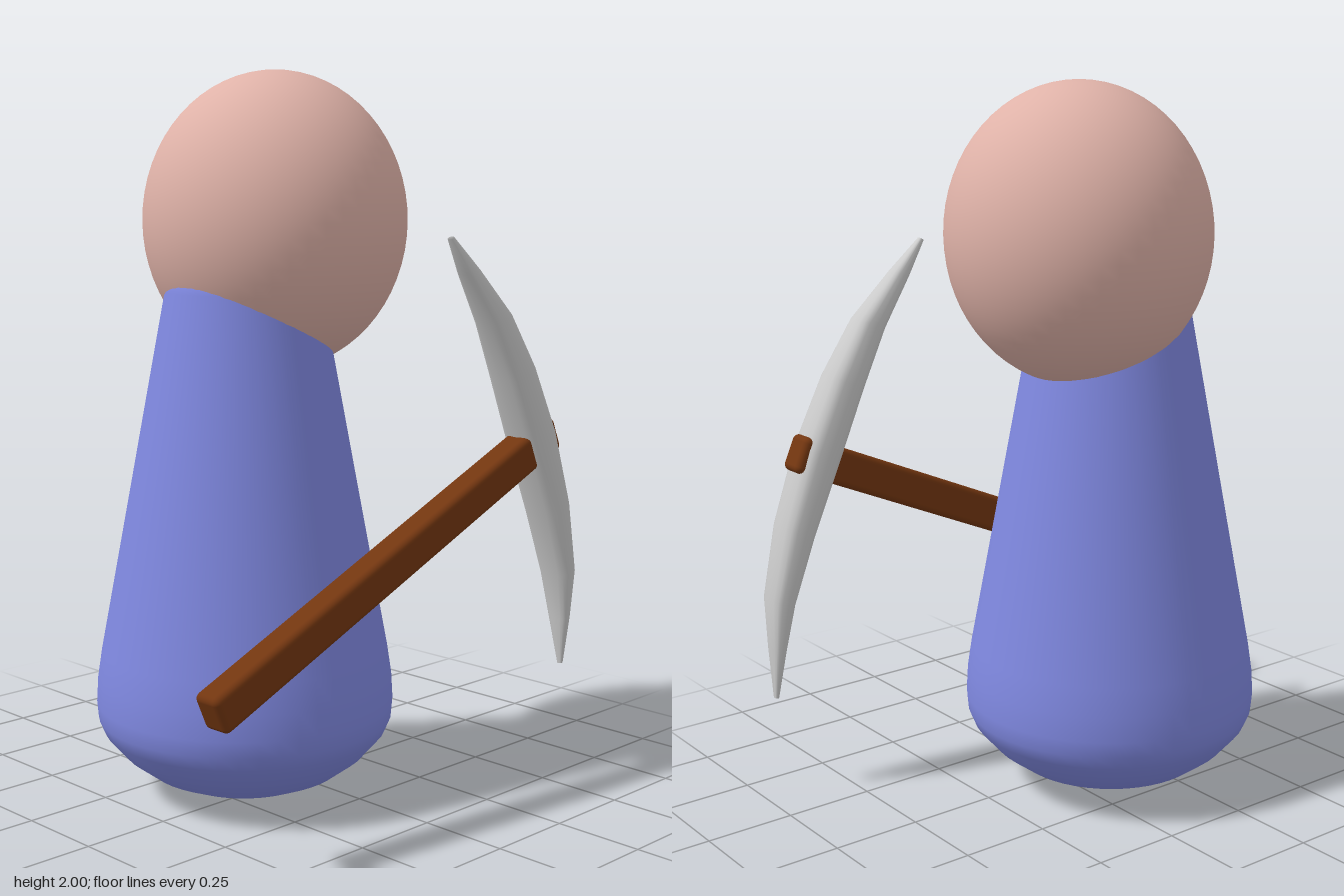
import * as THREE from 'three';
import { RoundedBoxGeometry } from 'three/addons/geometries/RoundedBoxGeometry.js';

function addPart(group, name, geometry, color, x = 0, y = 0, z = 0) {
  const mesh = new THREE.Mesh(geometry, new THREE.MeshStandardMaterial({ color }));
  mesh.name = name;
  mesh.position.set(x, y, z);
  group.add(mesh);
  return mesh;
}

// Curved blade lofted from stations: [outer x, outer y, inner x, inner y, half depth]
function bladeGeometry(stations, sides = 16) {
  const positions = [], index = [];
  const soften = (v) => Math.sign(v) * Math.abs(v) ** 0.75;
  for (const [ox, oy, ix, iy, depth] of stations) {
    for (let j = 0; j < sides; j++) {
      const a = (j / sides) * Math.PI * 2;
      const c = soften(Math.cos(a)) / 2, s = soften(Math.sin(a));
      positions.push((ox + ix) / 2 + (ox - ix) * c, (oy + iy) / 2 + (oy - iy) * c, depth * s);
    }
  }
  for (let i = 0; i < stations.length - 1; i++) {
    for (let j = 0; j < sides; j++) {
      const a = i * sides + j, b = i * sides + ((j + 1) % sides);
      index.push(a, b, a + sides, b, b + sides, a + sides);
    }
  }
  // Tip caps
  const last = (stations.length - 1) * sides;
  for (let j = 1; j < sides - 1; j++) {
    index.push(0, j + 1, j, last, last + j, last + j + 1);
  }
  const geometry = new THREE.BufferGeometry();
  geometry.setAttribute('position', new THREE.Float32BufferAttribute(positions, 3));
  geometry.setIndex(index);
  geometry.computeVertexNormals();
  return geometry;
}

export function createModel() {
  const model = new THREE.Group();
  model.name = 'minerFigure';

  // Tapered body with a rounded underside
  const profile = [
    [0, 0], [0.11, 0.008], [0.2, 0.03], [0.27, 0.06], [0.34, 0.112], [0.395, 0.175], [0.412, 0.215],
    [0.416, 0.26], [0.412, 0.33], [0.4, 0.41], [0.31, 0.89], [0.215, 1.4], [0.205, 1.45], [0, 1.45],
  ].map(([r, y]) => new THREE.Vector2(r, y));
  addPart(model, 'body', new THREE.LatheGeometry(profile, 48), 0x7f88e0, -0.145, 0, -0.06);

  // Egg-like head, set off to one side
  const head = addPart(model, 'head', new THREE.SphereGeometry(1, 48, 32), 0xdfb2a8, -0.025, 1.59, -0.06);
  head.scale.set(0.365, 0.41, 0.367);

  // Pickaxe held across the front
  const pickaxe = new THREE.Group();
  pickaxe.name = 'pickaxe';
  pickaxe.position.z = 0.408;
  model.add(pickaxe);

  const handle = addPart(pickaxe, 'handle', new RoundedBoxGeometry(1.41, 0.105, 0.085, 3, 0.018), 0x733610, -0.04, 0.708);
  handle.rotation.z = Math.atan2(0.56, 1.29);

  const stations = [
    [0.18, 1.553, 0.168, 1.545, 0.01],
    [0.275, 1.465, 0.225, 1.45, 0.03],
    [0.4, 1.34, 0.315, 1.31, 0.049],
    [0.497, 1.19, 0.395, 1.145, 0.062],
    [0.59, 1.0, 0.48, 0.95, 0.068],
    [0.663, 0.785, 0.57, 0.745, 0.065],
    [0.706, 0.58, 0.637, 0.56, 0.053],
    [0.704, 0.43, 0.665, 0.425, 0.033],
    [0.7, 0.287, 0.687, 0.284, 0.008],
  ];
  addPart(pickaxe, 'pickHead', bladeGeometry(stations), 0xcccccc);

  return model;
}
